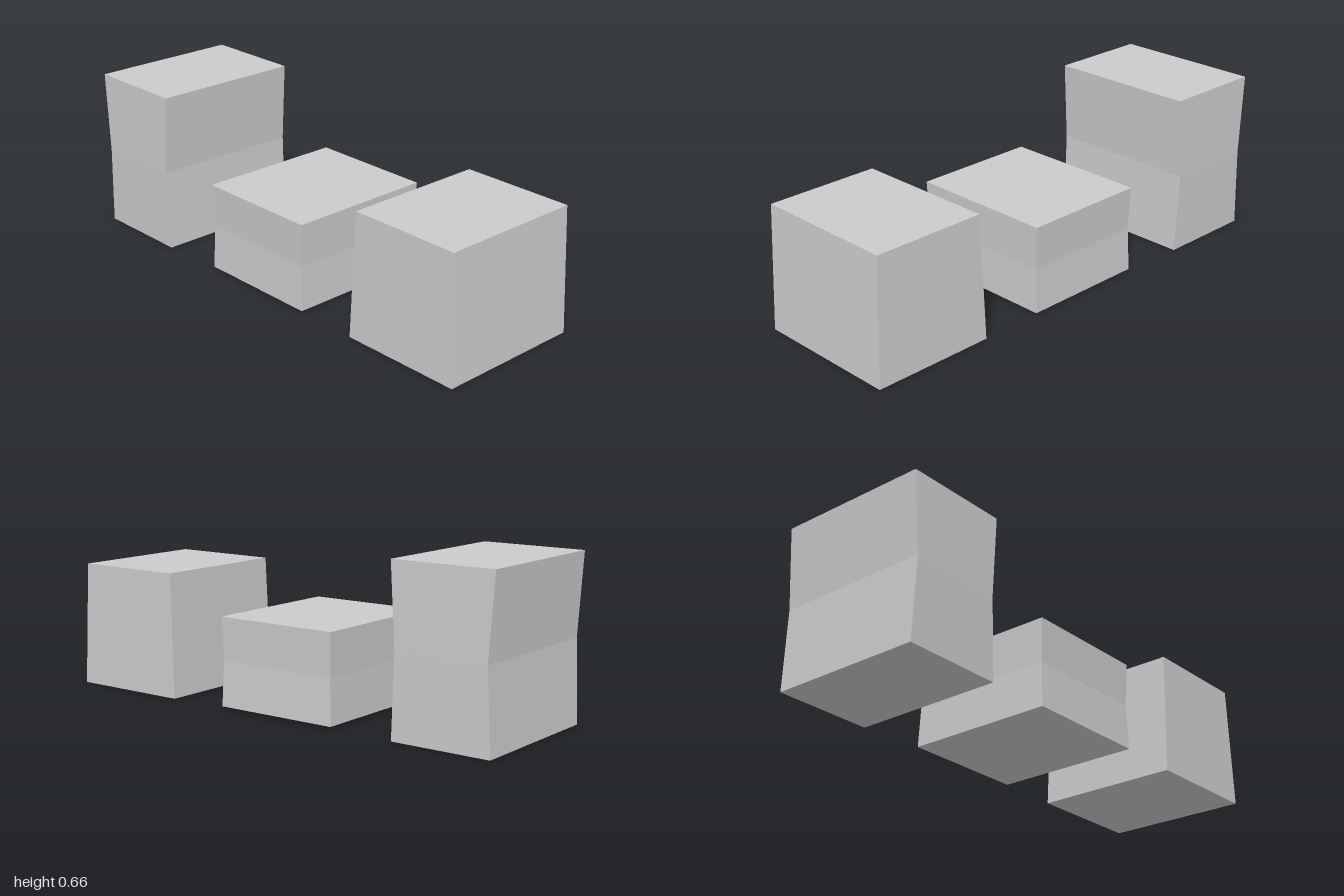
import * as THREE from 'three';

const material = new THREE.MeshStandardMaterial({ color: 0xcccccc, flatShading: true });

// Block shaped by level sections, bottom to top: [y, halfWidth, zBack, zFront]
function createBlock(name, sections) {
  const steps = sections.length - 1;
  const geometry = new THREE.BoxGeometry(1, 1, 1, 1, steps, 1);
  const pos = geometry.attributes.position;
  for (let i = 0; i < pos.count; i++) {
    const level = Math.round((pos.getY(i) + 0.5) * steps);
    const [y, halfWidth, zBack, zFront] = sections[level];
    pos.setXYZ(i, Math.sign(pos.getX(i)) * halfWidth, y, pos.getZ(i) > 0 ? zFront : zBack);
  }
  geometry.computeVertexNormals();
  const mesh = new THREE.Mesh(geometry, material);
  mesh.name = name;
  return mesh;
}

export function createModel() {
  const group = new THREE.Group();
  group.name = 'blocks';
  group.add(
    // tapered block
    createBlock('frontBlock', [
      [0, 0.305, 0.49, 1.0],
      [0.509, 0.298, 0.51, 0.98],
    ]),
    // low block with a slightly pinched waist
    createBlock('middleBlock', [
      [0.008, 0.308, -0.302, 0.23],
      [0.19, 0.301, -0.296, 0.224],
      [0.366, 0.308, -0.302, 0.23],
    ]),
    // tall block pinched front to back
    createBlock('rearBlock', [
      [0, 0.315, -0.992, -0.58],
      [0.33, 0.319, -0.977, -0.594],
      [0.66, 0.316, -1.0, -0.573],
    ]),
  );
  return group;
}
